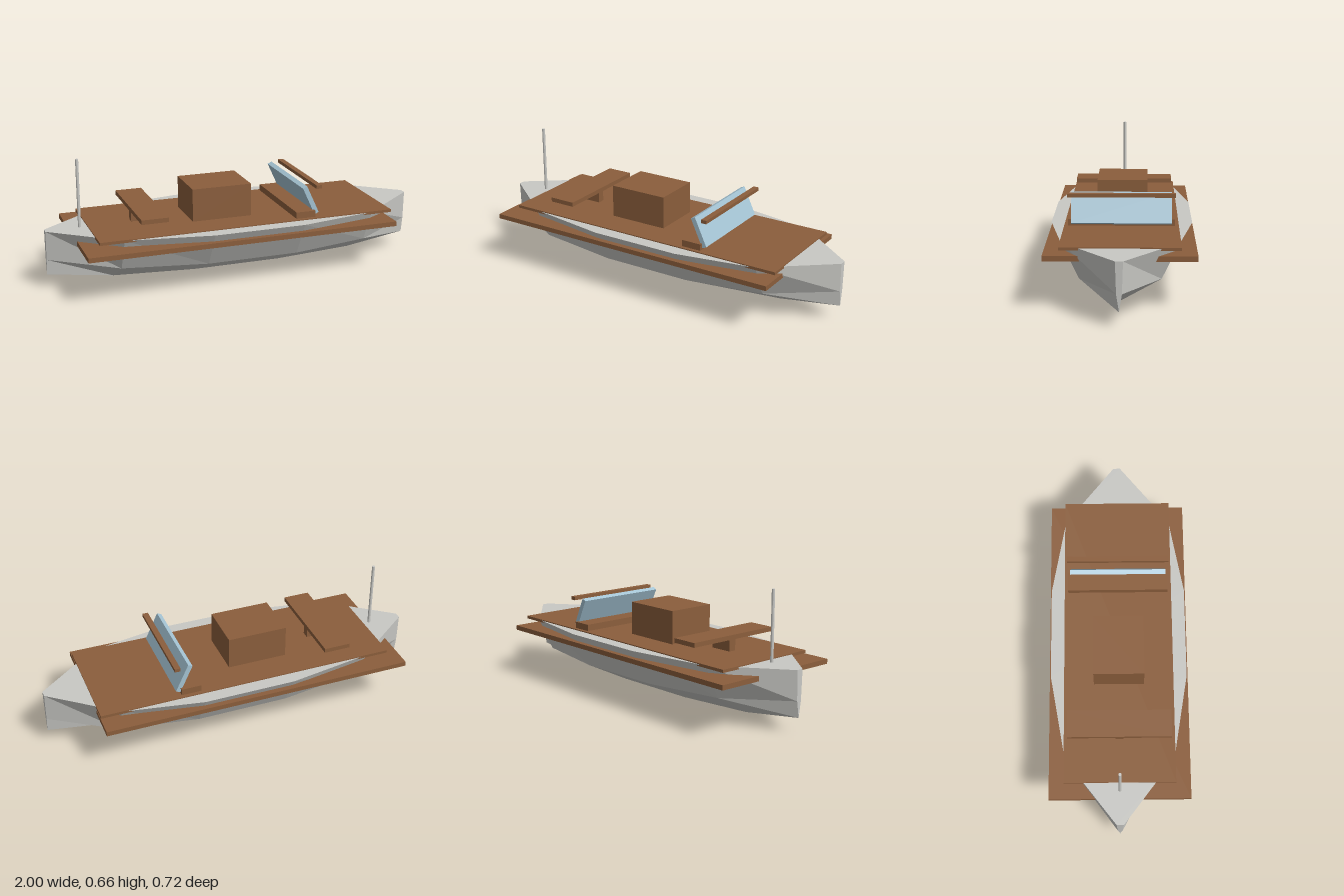
import * as THREE from 'three';

const material = (name, color, extra = {}) => {
  const m = new THREE.MeshStandardMaterial({ color, ...extra });
  m.name = name;
  return m;
};

// Faceted V hull lofted through five-point cross-sections, closed by deck and end caps
function hullGeometry() {
  // x, sheer half-width, chine half-width, chine height, keel height
  const stations = [
    [-1, 0.018, 0.013, 0.155, 0.072],
    [-0.66, 0.28, 0.195, 0.131, 0.022],
    [-0.22, 0.355, 0.25, 0.12, 0],
    [0.26, 0.355, 0.25, 0.12, 0],
    [0.67, 0.28, 0.195, 0.131, 0.022],
    [1, 0.018, 0.013, 0.155, 0.072],
  ];
  const sheerY = 0.306;
  const rings = stations.map(([x, sheer, chine, chineY, keelY]) => [
    [x, sheerY, sheer], [x, chineY, chine], [x, keelY, 0], [x, chineY, -chine], [x, sheerY, -sheer],
  ]);
  const pos = [];
  const tri = (a, b, c) => pos.push(...a, ...b, ...c);
  for (let i = 0; i < rings.length - 1; i++) {
    const r = rings[i], s = rings[i + 1];
    for (let j = 0; j < 5; j++) {
      const k = (j + 1) % 5;
      tri(r[j], r[k], s[k]);
      tri(r[j], s[k], s[j]);
    }
  }
  const stern = rings[0], bow = rings[rings.length - 1];
  for (let j = 1; j < 4; j++) {
    tri(bow[0], bow[j], bow[j + 1]);
    tri(stern[0], stern[j + 1], stern[j]);
  }
  const g = new THREE.BufferGeometry();
  g.setAttribute('position', new THREE.Float32BufferAttribute(pos, 3));
  g.computeVertexNormals();
  return g;
}

export function createModel() {
  const boat = new THREE.Group();
  boat.name = 'boat';
  const grey = material('hull grey', 0xc8c8c4, { flatShading: true });
  const wood = material('wood brown', 0x8b5e3c);
  const glass = material('glass blue', 0xa5c4d4);

  const add = (name, geometry, mat) => {
    const mesh = new THREE.Mesh(geometry, mat);
    mesh.name = name;
    boat.add(mesh);
    return mesh;
  };
  // Box from x and y ranges, centred on z = 0
  const box = (name, x0, x1, y0, y1, halfZ, mat = wood) => {
    const mesh = add(name, new THREE.BoxGeometry(x1 - x0, y1 - y0, halfZ * 2), mat);
    mesh.position.set((x0 + x1) / 2, (y0 + y1) / 2, 0);
    return mesh;
  };

  add('hull', hullGeometry(), grey);
  box('rubRail', -0.86, 0.775, 0.243, 0.268, 0.362);
  box('deck', -0.785, 0.78, 0.296, 0.311, 0.285);

  // Deck furniture
  box('engineBox', -0.265, 0.05, 0.31, 0.482, 0.13);
  box('benchLeg', -0.56, -0.44, 0.31, 0.375, 0.02);
  box('benchSeat', -0.57, -0.43, 0.372, 0.395, 0.266);
  box('dashboard', 0.25, 0.355, 0.31, 0.345, 0.266);

  // Raked windscreen and its rail
  const screen = box('windscreen', 0.3225, 0.3475, 0.317, 0.477, 0.25, glass);
  screen.rotation.z = THREE.MathUtils.degToRad(25);
  box('windscreenRail', 0.358, 0.388, 0.461, 0.479, 0.267);

  // Stern pole
  add('pole', new THREE.CylinderGeometry(0.008, 0.008, 0.355, 12), grey).position.set(-0.823, 0.4825, 0);

  return boat;
}
